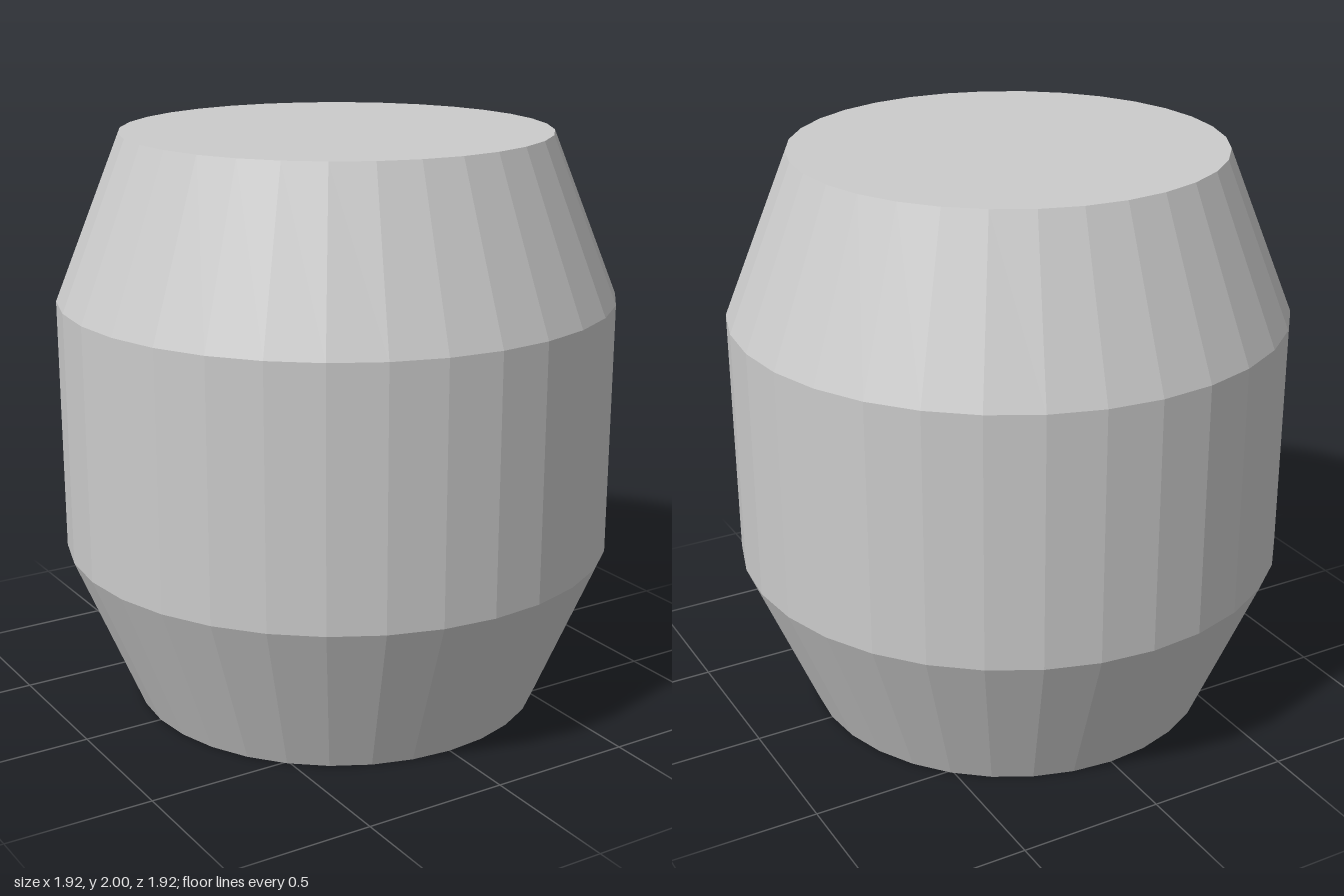
import * as THREE from 'three';

const SIDES = 32;
const material = new THREE.MeshStandardMaterial({ color: 0xcccccc, flatShading: true });

function addLid(group, name, radius, y, tilt) {
  const lid = new THREE.Mesh(new THREE.CircleGeometry(radius, SIDES), material);
  lid.name = name;
  lid.rotation.x = tilt;
  lid.position.y = y;
  group.add(lid);
}

export function createModel() {
  const group = new THREE.Group();
  group.name = 'barrel';

  // Faceted wall: flared base, straight belly, tapered shoulder
  const profile = [[0.72, 0], [0.956, 0.565], [0.958, 1.44], [0.733, 2]]
    .map(([r, y]) => new THREE.Vector2(r, y));
  const wall = new THREE.Mesh(new THREE.LatheGeometry(profile, SIDES), material);
  wall.name = 'barrelWall';
  group.add(wall);

  // Flat ends
  addLid(group, 'topLid', 0.733, 2, -Math.PI / 2);
  addLid(group, 'bottomLid', 0.72, 0, Math.PI / 2);

  return group;
}
